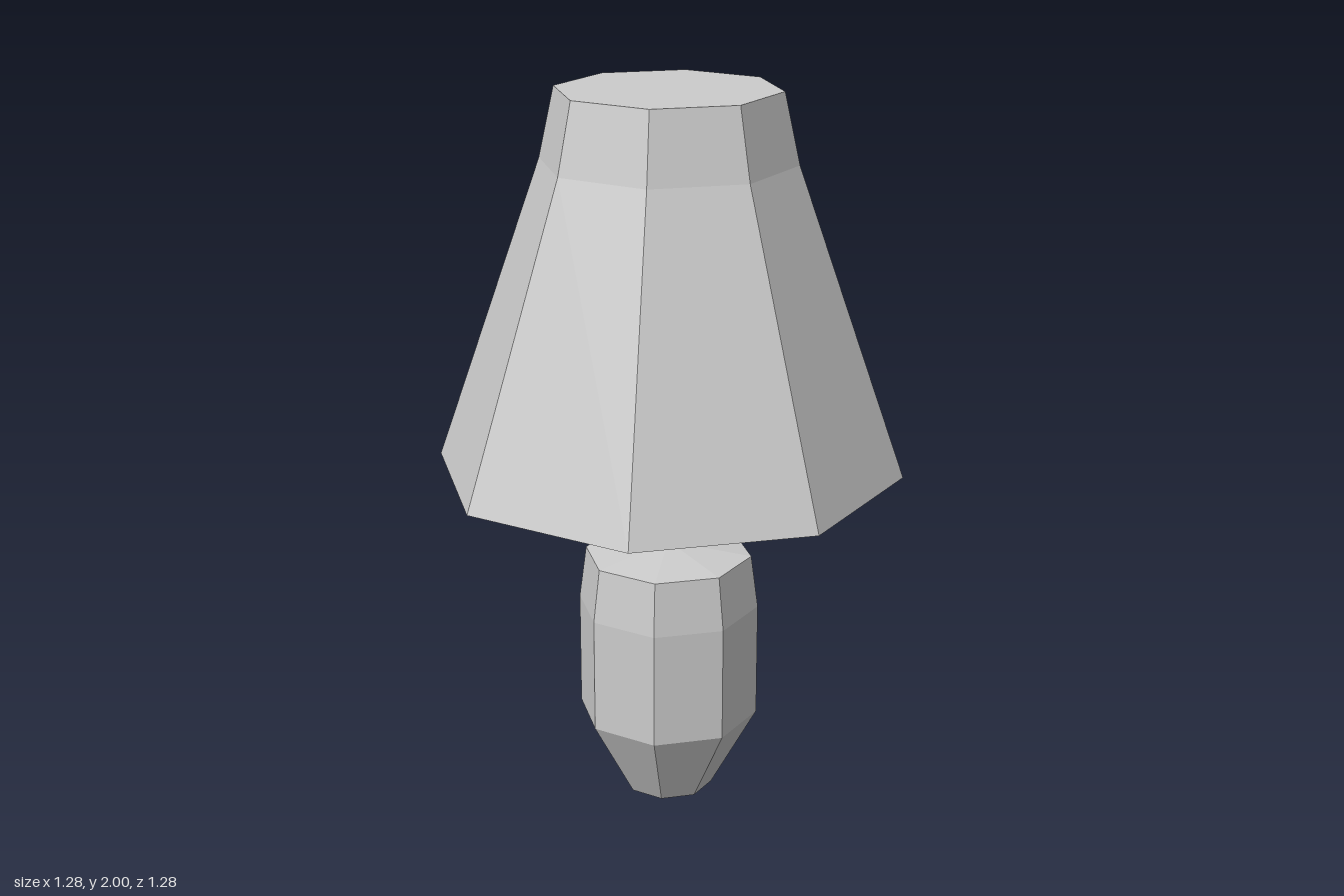
import * as THREE from 'three';

const SIDES = 8;

// Faceted solid of revolution; the profile runs [radius, height] with the outside on its right
function turned(name, profile, material) {
  const points = profile.map(([r, y]) => new THREE.Vector2(r, y));
  const mesh = new THREE.Mesh(new THREE.LatheGeometry(points, SIDES), material);
  mesh.name = name;
  return mesh;
}

export function createModel() {
  const lamp = new THREE.Group();
  lamp.name = 'tableLamp';
  const grey = new THREE.MeshStandardMaterial({ color: 0xcccccc, flatShading: true });

  // Octagonal vase-shaped base with a shallow sloping top
  lamp.add(turned('base', [
    [0, 0], [0.125, 0], [0.253, 0.235], [0.253, 0.56], [0.233, 0.71], [0.035, 0.737], [0, 0.737],
  ], grey));

  // Thin stem between base and socket
  lamp.add(turned('stem', [[0.035, 0.735], [0.035, 0.97]], grey));

  // Tapered socket column, reaching the ceiling inside the shade
  lamp.add(turned('socket', [[0, 0.966], [0.07, 0.966], [0.048, 1.34]], grey));

  // Shade with a low inner ceiling: down the inside, around the rim, up the outside
  lamp.add(turned('shade', [
    [0, 1.34], [0.38, 1.34], [0.603, 0.966],
    [0.642, 0.966], [0.345, 1.81], [0.303, 2], [0, 2],
  ], grey));

  return lamp;
}
